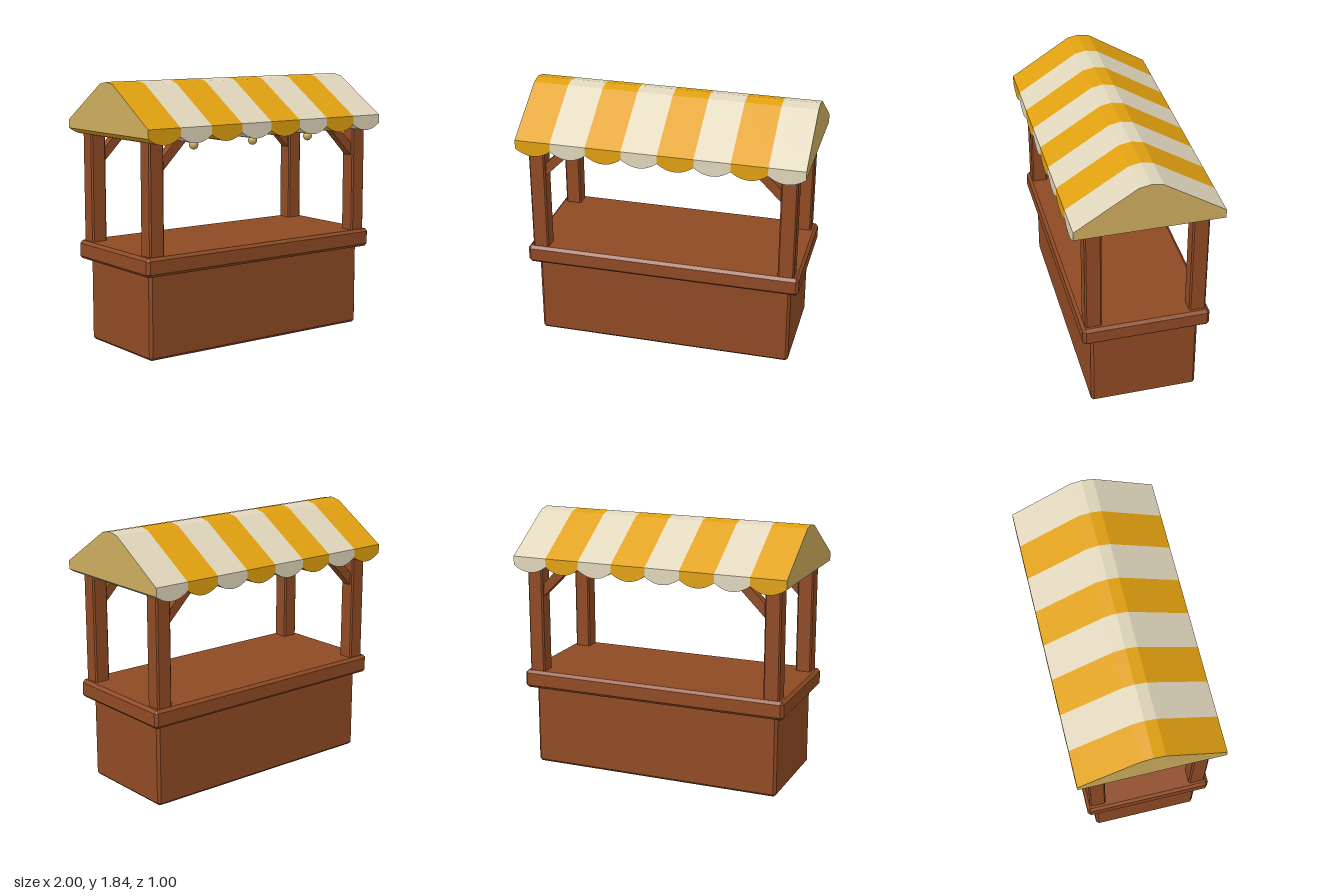
import * as THREE from 'three';
import { ConvexGeometry } from 'three/addons/geometries/ConvexGeometry.js';

const flat = (name, color) => {
  const m = new THREE.MeshStandardMaterial({ color });
  m.name = name;
  return m;
};

// Box with every edge cut at 45 degrees
function chamferBox(w, h, d, c) {
  const pts = [];
  for (const x of [-1, 1]) for (const y of [-1, 1]) for (const z of [-1, 1])
    for (let keep = 0; keep < 3; keep++) {
      const inset = [c, c, c];
      inset[keep] = 0;
      pts.push(new THREE.Vector3(
        x * (w / 2 - inset[0]), y * (h / 2 - inset[1]), z * (d / 2 - inset[2])));
    }
  return new ConvexGeometry(pts);
}

// Roof cross-section as [z, y], from front lower edge over the ridge to the back
const EDGE = 1.495, SCALLOP = 0.047;
const PROFILE = [[0.5, EDGE], [0.5, 1.555], [0.08, 1.82], [0, 1.835],
  [-0.08, 1.82], [-0.5, 1.555], [-0.5, EDGE]];

// One solid stripe of canopy whose underside hangs in a curve
function stripeGeometry(x0, width, cols = 10) {
  const ring = (t) => {
    const low = EDGE - SCALLOP * (1 - (2 * t - 1) ** 2);
    return PROFILE.map(([z, y]) => [x0 + t * width, y === EDGE ? low : y, z]);
  };
  const pos = [];
  for (let i = 0; i < cols; i++) {
    const a = ring(i / cols), b = ring((i + 1) / cols);
    for (let j = 0; j < a.length; j++) {
      const k = (j + 1) % a.length;
      pos.push(...a[j], ...b[j], ...b[k], ...a[j], ...b[k], ...a[k]);
    }
  }
  const g = new THREE.BufferGeometry();
  g.setAttribute('position', new THREE.Float32BufferAttribute(pos, 3));
  g.computeVertexNormals();
  return g;
}

export function createModel() {
  const wood = flat('brown wood', 0x8f4a24);
  const orange = flat('orange cloth', 0xe0a010);
  const cream = flat('cream cloth', 0xe0d6bc);
  const tan = flat('tan', 0xcdad5e);

  const model = new THREE.Group();
  model.name = 'marketStall';
  const add = (name, geometry, material, x = 0, y = 0, z = 0) => {
    const mesh = new THREE.Mesh(geometry, material);
    mesh.name = name;
    mesh.position.set(x, y, z);
    model.add(mesh);
    return mesh;
  };

  // Counter
  add('counterBase', chamferBox(1.83, 0.6, 0.75, 0.018), wood, 0, 0.3, 0);
  add('counterTop', chamferBox(1.95, 0.13, 0.88, 0.02), wood, 0, 0.645, 0);

  // Corner posts with diagonal braces
  const post = chamferBox(0.114, 0.84, 0.114, 0.01);
  const brace = new THREE.BoxGeometry(0.33, 0.064, 0.064);
  for (const sx of [-1, 1]) for (const sz of [-1, 1]) {
    add('post', post, wood, sx * 0.882, 1.08, sz * 0.36);
    add('brace', brace, wood, sx * 0.74, 1.392, sz * 0.36).rotation.z = -sx * Math.PI / 4;
  }

  // Striped canopy
  for (let i = 0; i < 8; i++)
    add('canopyStripe', stripeGeometry(-1 + i * 0.25, 0.25), i % 2 ? cream : orange);

  // Gable ends
  const gable = new THREE.ShapeGeometry(
    new THREE.Shape(PROFILE.map(([z, y]) => new THREE.Vector2(z, y))));
  for (const sx of [-1, 1])
    add('gable', gable, tan, sx, 0, 0).rotation.y = sx * Math.PI / 2;

  // Hanging lamps along the front
  const rod = new THREE.CylinderGeometry(0.017, 0.017, 0.1, 8);
  const bulb = new THREE.SphereGeometry(0.032, 12, 8);
  for (const x of [-0.5, 0, 0.5]) {
    add('lampRod', rod, wood, x, 1.48, 0.29);
    add('lampBulb', bulb, tan, x, 1.412, 0.29);
  }
  return model;
}
